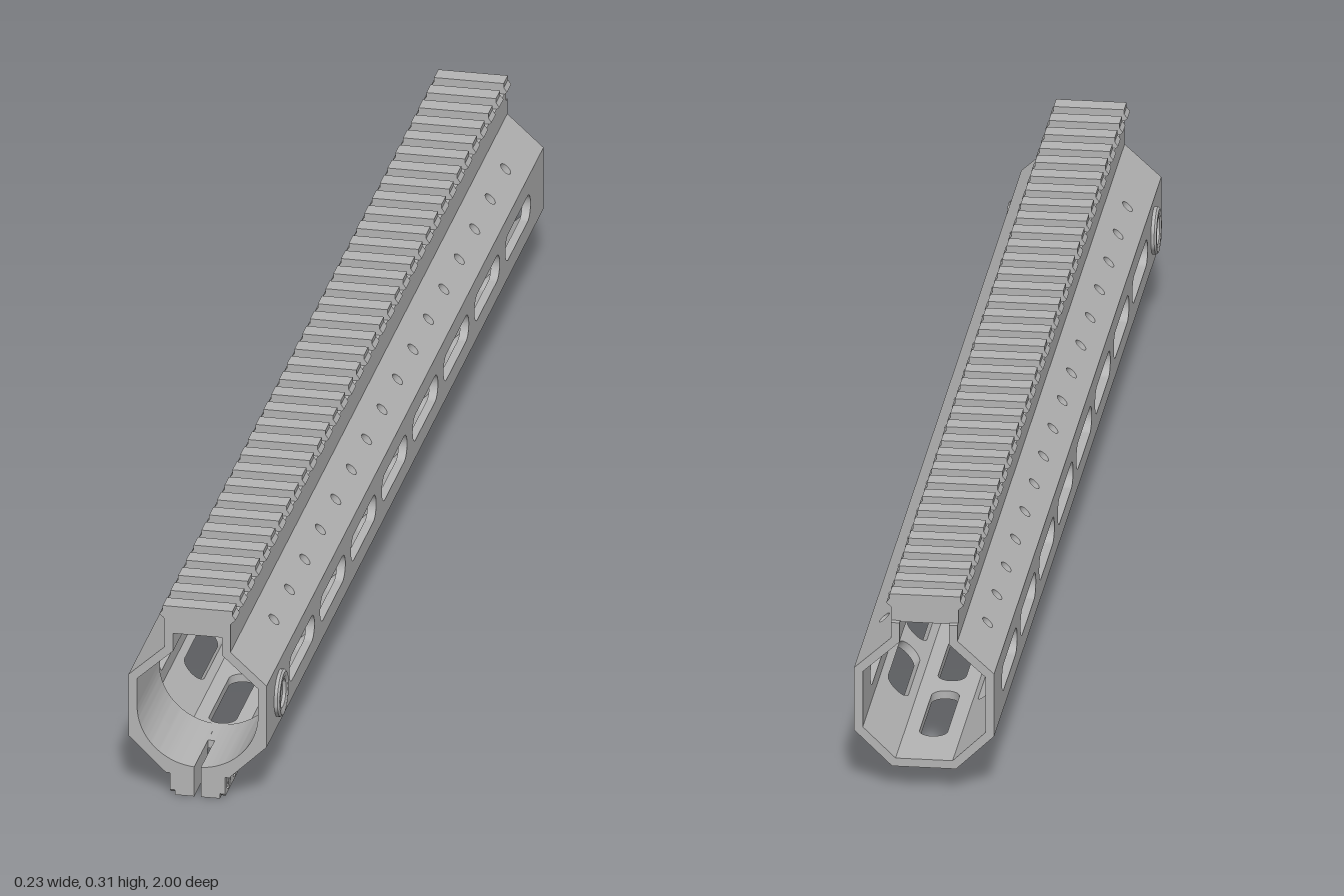
import * as THREE from 'three';
import { toCreasedNormals } from 'three/addons/utils/BufferGeometryUtils.js';

const T = 0.013; // wall thickness

export function createModel() {
  const root = new THREE.Group();
  const grey = new THREE.MeshStandardMaterial({ color: 0xb4b4b4 });
  grey.name = 'anodised grey';

  const add = (name, geometry, parent = root) => {
    const mesh = new THREE.Mesh(geometry, grey);
    mesh.name = name;
    parent.add(mesh);
    return mesh;
  };
  const outline = (pts) => new THREE.Shape(pts.map(([x, y]) => new THREE.Vector2(x, y)));
  const extrude = (shape, depth, z0 = 0) =>
    new THREE.ExtrudeGeometry(shape, { depth, bevelEnabled: false, curveSegments: 16 }).translate(0, 0, z0);
  const mirrored = (half) => [...half, ...half.map(([x, y]) => [-x, y]).reverse()];

  // Rounded slot and round hole cut-outs, centred on (z, s)
  const slot = (z, s, length, r) => {
    const p = new THREE.Path(), h = length / 2 - r;
    p.absarc(z + h, s, r, -Math.PI / 2, Math.PI / 2);
    p.absarc(z - h, s, r, Math.PI / 2, Math.PI * 1.5);
    p.closePath();
    return p;
  };
  const hole = (x, y, r) => new THREE.Path().absarc(x, y, r, 0, Math.PI * 2);
  const row = (count, start, step, make) => Array.from({ length: count }, (_, i) => make(start - i * step));

  // Tube walls: clockwise outline, one mitred panel per edge
  const P = mirrored([[0.05, 0.265], [0.05, 0.24], [0.105, 0.19], [0.105, 0.09], [0.048, 0.035]])
    .map(([x, y]) => new THREE.Vector2(x, y));
  const dir = (i) => P[i + 1].clone().sub(P[i]).normalize();
  const mitre = (i) => { // inward shift of the inner edge at corner i
    if (i === 0 || i === P.length - 1) return 0;
    const a = dir(i - 1), b = dir(i);
    return T * Math.tan(Math.atan2(-a.cross(b), a.dot(b)) / 2);
  };
  const panelNames = ['railWall', 'upperSlope', 'sideWall', 'lowerSlope', 'floor',
    'lowerSlope', 'sideWall', 'upperSlope', 'railWall'];
  panelNames.forEach((name, i) => {
    const L = P[i].distanceTo(P[i + 1]), d = dir(i);
    const pts = [[-1, 0], [1, 0]];
    if (name === 'floor') pts.push([1, L / 2 - 0.005], [0.9, L / 2 - 0.005], [0.9, L / 2 + 0.005], [1, L / 2 + 0.005]);
    pts.push([1, L], [-1, L]);
    const shape = outline(pts);
    if (name === 'upperSlope') shape.holes = row(16, 0.815, 0.1115, (z) => hole(z, L / 2, 0.01));
    if (name === 'sideWall' || name === 'floor') shape.holes = row(8, 0.745, 0.2229, (z) => slot(z, L / 2, 0.182, 0.021));
    if (name === 'lowerSlope') shape.holes = row(7, 0.633, 0.2225, (z) => slot(z, L / 2, 0.175, 0.021));
    const g = extrude(shape, T, -T);
    const pos = g.attributes.position, m0 = mitre(i), m1 = mitre(i + 1);
    for (let k = 0; k < pos.count; k++) {
      if (pos.getZ(k) > -T / 2) continue;
      const s = pos.getY(k);
      if (s < 1e-5) pos.setY(k, m0);
      else if (s > L - 1e-5) pos.setY(k, L - m1);
    }
    g.computeVertexNormals();
    const basis = new THREE.Matrix4().makeBasis(
      new THREE.Vector3(0, 0, 1), new THREE.Vector3(d.x, d.y, 0), new THREE.Vector3(-d.y, d.x, 0));
    basis.setPosition(P[i].x, P[i].y, 0);
    add(name, g.applyMatrix4(basis));
  });

  // Top rail: continuous base and a row of teeth
  add('railBase', extrude(outline(mirrored([[0.05, 0.263], [0.05, 0.285], [0.054, 0.29]])), 1.99, -0.99));
  const tooth = extrude(outline(mirrored([[0.054, 0.289], [0.058, 0.293], [0.053, 0.3], [0.053, 0.307]])), 0.03, -0.015);
  for (let i = 0; i < 36; i++) add('railTooth', tooth).position.z = 0.985 - i * 0.056;

  // Parts found on both sides of the front end
  for (const side of [1, -1]) {
    const half = new THREE.Group();
    half.name = side > 0 ? 'leftClampHalf' : 'rightClampHalf';
    half.scale.x = side;
    root.add(half);

    // Round bore inside the lower half of the tube
    const bore = outline([[0.005, 0.038], [0.047, 0.037], [0.103, 0.091], [0.103, 0.14], [0.092, 0.14]]);
    bore.absarc(0, 0.14, 0.092, 0, -Math.PI / 2 + 0.055, true);
    add('boreLiner', toCreasedNormals(extrude(bore, 0.16, 0.84), 0.5), half);

    // Clamp lug with two recessed screws
    const lug = outline([[0.005, 0.037], [0.005, 0], [0.034, 0], [0.034, 0.037]]);
    add('clampLug', extrude(lug, 0.095, 0.905), half);
    const plate = outline([[-1, 0.008], [-0.996, 0.004], [-0.909, 0.004], [-0.905, 0.008], [-0.905, 0.036], [-1, 0.036]]);
    plate.holes = [hole(-0.975, 0.02, 0.013), hole(-0.93, 0.02, 0.013)];
    add('lugFace', extrude(plate, 0.008, 0.034).rotateY(Math.PI / 2), half);

    const turned = (pts, y, z) => toCreasedNormals(
      new THREE.LatheGeometry(pts.map(([r, h]) => new THREE.Vector2(r, h)), 32), 0.5)
      .rotateZ(-Math.PI / 2).translate(0, y, z);
    for (const z of [0.975, 0.93]) {
      add('clampScrew', turned([[0.01, 0.033], [0.01, 0.041], [0.005, 0.041], [0.005, 0.036], [0, 0.036]], 0.02, z), half);
    }

    // Raised sling socket
    add('slingSocket', turned([[0.036, 0.1], [0.036, 0.11], [0.033, 0.113], [0.026, 0.113],
      [0.022, 0.111], [0.022, 0.106], [0, 0.106]], 0.14, 0.91), half);
  }
  return root;
}
